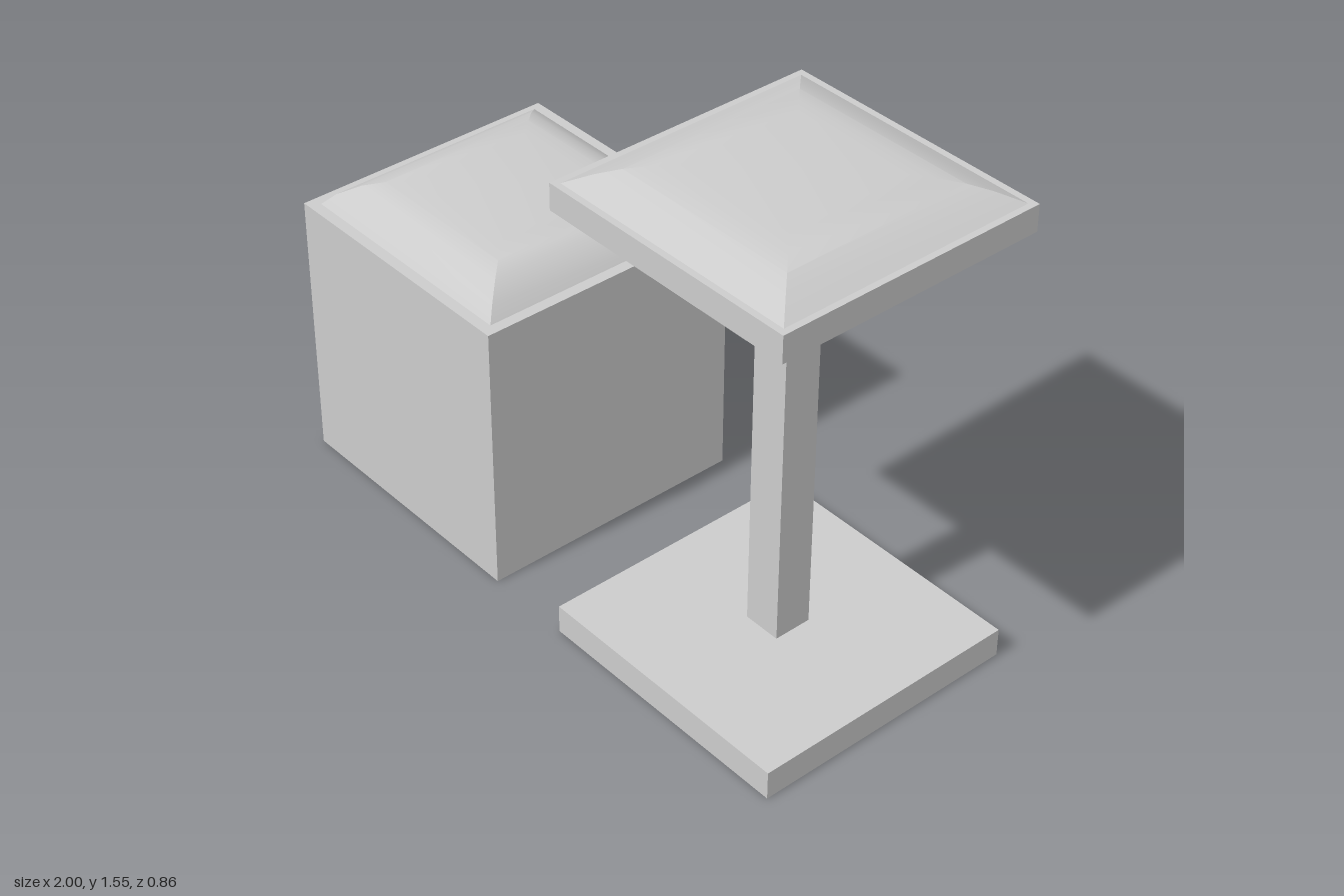
import * as THREE from 'three';
import { toCreasedNormals } from 'three/addons/utils/BufferGeometryUtils.js';

const material = new THREE.MeshStandardMaterial({ color: 0xcccccc, side: THREE.DoubleSide });

// Square shell from a profile of [half width, height] pairs, listed bottom to top
function squareShell(name, profile) {
  const points = profile.map(([half, y]) => new THREE.Vector2(half * Math.SQRT2, y));
  const geometry = new THREE.LatheGeometry(points, 4, Math.PI / 4);
  const mesh = new THREE.Mesh(toCreasedNormals(geometry, 0.35), material);
  mesh.name = name;
  return mesh;
}

export function createModel() {
  const model = new THREE.Group();
  model.name = 'stoolSet';

  // Cube stool: open-bottomed box with a padded top
  const cubeStool = new THREE.Group();
  cubeStool.name = 'cubeStool';
  cubeStool.position.x = -0.57;
  cubeStool.add(
    squareShell('cubeBody', [[0.43, 0], [0.43, 0.862], [0.395, 0.862]]),
    squareShell('cubeCushion', [
      [0.395, 0.862], [0.362, 0.898], [0.31, 0.93], [0.26, 0.946], [0.2, 0.956], [0, 0.956],
    ]),
  );

  // Pedestal stool: hollow foot plate, square post, slab seat with a flatter pad
  const pedestalStool = new THREE.Group();
  pedestalStool.name = 'pedestalStool';
  pedestalStool.position.x = 0.57;
  pedestalStool.add(
    squareShell('footPlate', [[0.43, 0], [0.43, 0.09], [0.06, 0.09]]),
    squareShell('post', [[0.06, 0.09], [0.06, 1.404]]),
    squareShell('seatSlab', [[0, 1.404], [0.43, 1.404], [0.43, 1.486], [0.41, 1.486]]),
    squareShell('seatCushion', [
      [0.41, 1.486], [0.35, 1.517], [0.3, 1.536], [0.25, 1.548], [0.2, 1.555], [0, 1.555],
    ]),
  );

  model.add(cubeStool, pedestalStool);
  return model;
}
